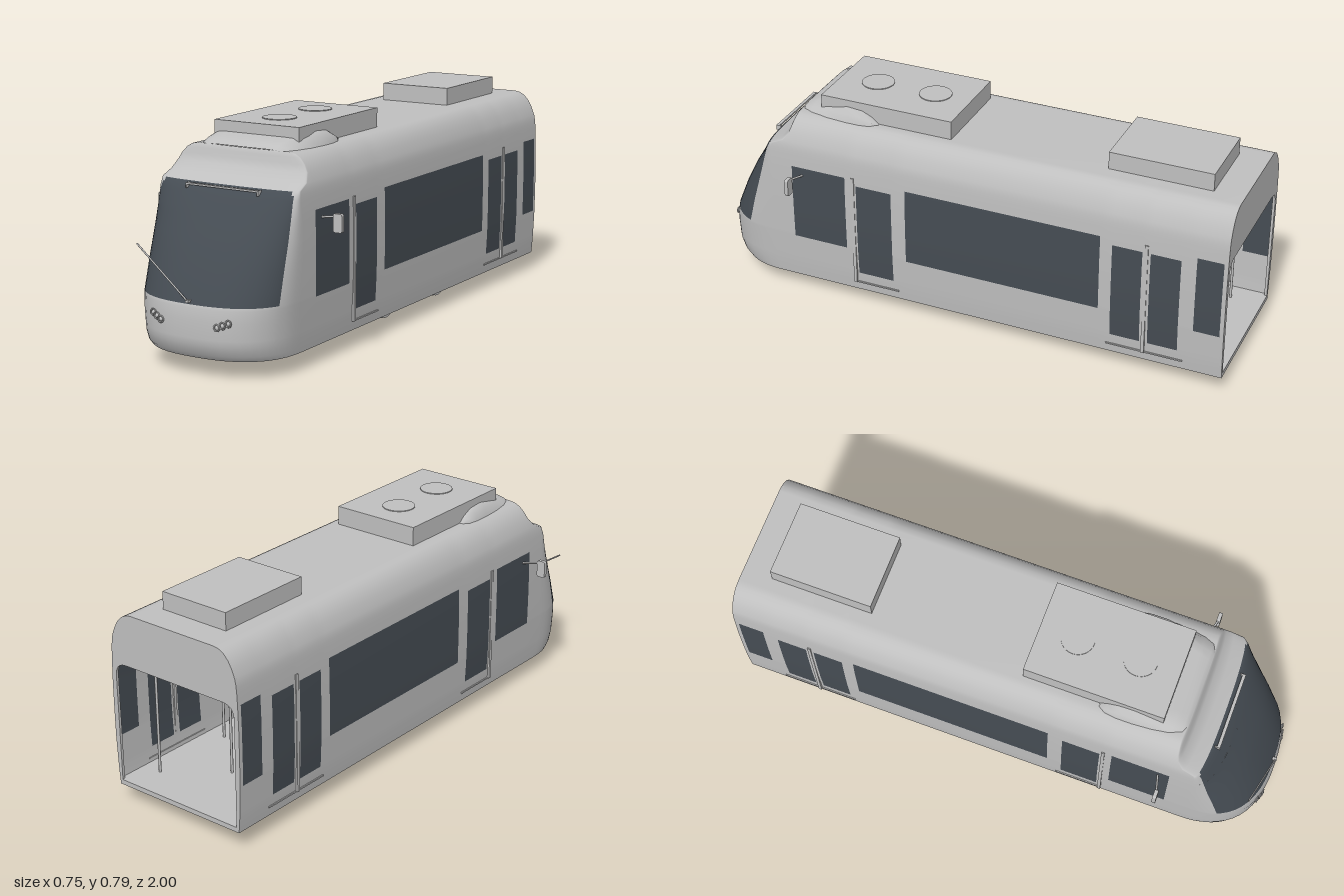
import * as THREE from 'three';

const paint = new THREE.MeshStandardMaterial({ color: 0xbfbfbf, side: THREE.DoubleSide });
paint.name = 'light grey paint';
const glass = new THREE.MeshStandardMaterial({ color: 0x454c53, side: THREE.DoubleSide });
glass.name = 'dark glass';

// Body profile rows: height, half width, front z, depth of the rounded nose
const PROFILE = [
  [0.065, 0.272, 0.965, 0.24], [0.085, 0.274, 0.985, 0.245], [0.12, 0.277, 0.997, 0.25],
  [0.2, 0.281, 1.0, 0.25], [0.25, 0.283, 0.99, 0.235], [0.35, 0.284, 0.945, 0.2],
  [0.45, 0.284, 0.89, 0.153], [0.535, 0.282, 0.832, 0.09], [0.58, 0.28, 0.8, 0.055],
  [0.61, 0.277, 0.77, 0.03], [0.63, 0.273, 0.725, 0.03], [0.66, 0.261, 0.692, 0.02],
  [0.685, 0.247, 0.682, 0.015], [0.705, 0.228, 0.676, 0.012], [0.716, 0.208, 0.672, 0.01],
  [0.72, 0.185, 0.668, 0.007],
];
// Side windows: z from, z to, y from, y to
const WINDOWS = [
  [0.445, 0.66, 0.24, 0.535], [0.26, 0.4, 0.14, 0.51], [-0.54, 0.205, 0.24, 0.535],
  [-0.695, -0.585, 0.14, 0.51], [-0.835, -0.725, 0.14, 0.51], [-0.985, -0.89, 0.24, 0.535],
];
const SIDE_Z = [-1, ...WINDOWS.flatMap((w) => [w[0], w[1]])].sort((a, b) => a - b);
const ANGLES = [0, 5, 10, 15, 21, 26, 32, 39, 46, 54, 62, 70, 77, 84, 90];
const POWER = 2.5;

function profileAt(y) {
  let i = 0;
  while (i < PROFILE.length - 2 && y > PROFILE[i + 1][0]) i++;
  const [a, b] = [PROFILE[i], PROFILE[i + 1]];
  const t = (y - a[0]) / (b[0] - a[0]);
  return a.map((v, k) => v + (b[k] - v) * t);
}

// Outline at one height, from the back left, round the nose, to the back right
function ringAt(y) {
  const [, w, f, d] = profileAt(y);
  const half = SIDE_Z.map((z) => [w, y, z]);
  for (const a of ANGLES) {
    const t = THREE.MathUtils.degToRad(a);
    const x = a === 90 ? 0 : w * Math.cos(t) ** (2 / POWER);
    half.push([x, y, f - d + d * Math.sin(t) ** (2 / POWER)]);
  }
  return [...half, ...half.slice(0, -1).reverse().map(([x, h, z]) => [-x, h, z])];
}

// Nose z at a given x and y
function noseZ(x, y) {
  const [, w, f, d] = profileAt(y);
  return f - d + d * (1 - (Math.abs(x) / w) ** POWER) ** (1 / POWER);
}

function capIndices(n, offset, up) {
  const out = [];
  for (let i = 0; i < (n - 1) / 2; i++) {
    const [l, l2, r, r2] = [i, i + 1, n - 1 - i, n - 2 - i].map((k) => k + offset);
    const tris = [[l, r, l2]];
    if (r2 !== l2) tris.push([l2, r, r2]);
    for (const [a, b, c] of tris) out.push(...(up ? [a, b, c] : [a, c, b]));
  }
  return out;
}

function indexed(points, index) {
  const g = new THREE.BufferGeometry();
  g.setAttribute('position', new THREE.Float32BufferAttribute(points.flat(), 3));
  g.setIndex(index);
  g.computeVertexNormals();
  return g;
}

// Shell with the glazing as its own material group
function bodyGeometry() {
  const extra = [0.14, 0.24, 0.51, 0.3, 0.4, 0.597];
  const levels = [...PROFILE.map((p) => p[0]), ...extra].sort((a, b) => a - b);
  const rings = levels.map(ringAt);
  const n = rings[0].length;
  const ns = SIDE_Z.length;
  const solid = [];
  const glazed = [];
  for (let j = 0; j < levels.length - 1; j++) {
    const y = (levels[j] + levels[j + 1]) / 2;
    for (let i = 0; i < n - 1; i++) {
      const k = Math.min(i, n - 2 - i);
      let isGlass;
      if (k < ns - 1) {
        const z = (SIDE_Z[k] + SIDE_Z[k + 1]) / 2;
        isGlass = WINDOWS.some((w) => z > w[0] && z < w[1] && y > w[2] && y < w[3]);
      } else {
        isGlass = y > 0.25 && y < 0.61 && k >= ns + (y > 0.597 ? 5 : 4);
      }
      const a = j * n + i;
      (isGlass ? glazed : solid).push(a, a + n, a + 1, a + 1, a + n, a + n + 1);
    }
  }
  solid.push(...capIndices(n, (levels.length - 1) * n, true));
  const g = indexed(rings.flat(), [...solid, ...glazed]);
  g.addGroup(0, solid.length, 0);
  g.addGroup(solid.length, glazed.length, 1);
  return g;
}

export function createModel() {
  const model = new THREE.Group();
  model.name = 'tram';
  const add = (name, geometry, x = 0, y = 0, z = 0, material = paint) => {
    const m = new THREE.Mesh(geometry, material);
    m.name = name;
    m.position.set(x, y, z);
    model.add(m);
    return m;
  };
  const box = (name, w, h, d, x, y, z) => add(name, new THREE.BoxGeometry(w, h, d), x, y, z);
  const rod = (name, r, ...pts) => {
    const path = new THREE.LineCurve3(...pts.map((p) => new THREE.Vector3(...p)));
    return add(name, new THREE.TubeGeometry(path, 1, r, 8));
  };
  const axial = (name, r, len, x, y, z) =>
    add(name, new THREE.CylinderGeometry(r, r, len, 28).rotateZ(Math.PI / 2), x, y, z);
  const deck = (name, y, up) => {
    const ring = ringAt(y);
    add(name, indexed(ring, capIndices(ring.length, 0, up)));
  };

  // Body, floor and ceiling
  add('body', bodyGeometry(), 0, 0, 0, [paint, glass]);
  deck('underside', 0.065, false);
  deck('floor', 0.085, true);
  deck('ceiling', 0.54, false);

  // Open rear end with its frame
  const outline = PROFILE.map((p) => new THREE.Vector2(p[1], p[0]));
  const frame = new THREE.Shape([...outline, ...outline.map((p) => new THREE.Vector2(-p.x, p.y)).reverse()]);
  const hole = new THREE.Path();
  hole.moveTo(-0.262, 0.083).lineTo(-0.265, 0.48).quadraticCurveTo(-0.265, 0.53, -0.215, 0.53);
  hole.lineTo(0.215, 0.53).quadraticCurveTo(0.265, 0.53, 0.265, 0.48).lineTo(0.262, 0.083);
  frame.holes.push(hole);
  add('rearFrame', new THREE.ExtrudeGeometry(frame, { depth: 0.01, bevelEnabled: false }), 0, 0, -1);

  // Interior
  for (const [x, z] of [[-0.2, -0.88], [0.2, -0.88], [0, -0.73], [-0.2, -0.55], [0.2, -0.55], [-0.2, 0.22], [0.2, 0.22]])
    rod('grabPole', 0.005, [x, 0.085, z], [x, 0.54, z]);
  box('cabDesk', 0.5, 0.16, 0.06, 0, 0.165, 0.7);

  // Roof units and fans
  box('frontRoofUnit', 0.344, 0.075, 0.515, 0, 0.7525, 0.3275);
  box('rearRoofUnit', 0.28, 0.07, 0.38, 0, 0.75, -0.7);
  for (const z of [0.21, 0.44]) add('roofFan', new THREE.CylinderGeometry(0.06, 0.06, 0.004, 32), 0, 0.791, z);

  // Fairing round the front roof unit: z, half width at foot, half width at top, top height
  const stations = [
    [0.668, 0.15, 0.13, 0.722], [0.655, 0.178, 0.135, 0.735], [0.62, 0.192, 0.14, 0.745], [0.56, 0.2, 0.155, 0.758],
    [0.48, 0.205, 0.172, 0.765], [0.42, 0.205, 0.174, 0.76], [0.38, 0.2, 0.174, 0.742], [0.35, 0.18, 0.174, 0.718],
  ];
  const pts = [];
  const idx = [];
  stations.forEach(([z, foot, top, h], s) => {
    const mid = (foot + top) / 2 + 0.006;
    const side = [[foot, 0.715], [mid, 0.717 + (h - 0.717) * 0.6], [top, h - 0.001], [top * 0.8, h]];
    for (const [x, y] of side) pts.push([x, y, z]);
    for (const [x, y] of side.reverse()) pts.push([-x, y, z]);
    if (s) for (let k = 0; k < 7; k++) {
      const a = (s - 1) * 8 + k;
      idx.push(a, a + 8, a + 1, a + 1, a + 8, a + 9);
    }
  });
  for (let i = 0; i < idx.length; i += 3) [idx[i + 1], idx[i + 2]] = [idx[i + 2], idx[i + 1]];
  add('roofFairing', indexed(pts, idx));

  // Windscreen rail and wiper
  const railZ = noseZ(0, 0.603) + 0.012;
  box('railBar', 0.29, 0.006, 0.012, 0, 0.604, railZ);
  rod('wiper', 0.003, [0, 0.26, 0.995], [-0.235, 0.417, 0.95]);
  box('wiperPivot', 0.012, 0.008, 0.02, 0, 0.26, 0.99);

  for (const s of [1, -1]) {
    box('railEnd', 0.005, 0.018, 0.02, s * 0.143, 0.598, railZ - 0.004);

    // Headlights
    for (const [x, y] of [[0.112, 0.185], [0.131, 0.193], [0.15, 0.201]]) {
      const z = noseZ(x, y);
      add('headlightRing', new THREE.TorusGeometry(0.011, 0.0025, 8, 24), s * x, y, z + 0.003);
      add('headlightLens', new THREE.SphereGeometry(0.008, 16, 10), s * x, y, z);
    }

    // Mirrors on arms
    const plate = new THREE.Shape();
    plate.absarc(0.01, 0.025, 0.007, 0, Math.PI / 2);
    plate.absarc(-0.01, 0.025, 0.007, Math.PI / 2, Math.PI);
    plate.absarc(-0.01, -0.025, 0.007, Math.PI, Math.PI * 1.5);
    plate.absarc(0.01, -0.025, 0.007, Math.PI * 1.5, Math.PI * 2);
    add('mirror', new THREE.ExtrudeGeometry(plate, { depth: 0.014, bevelEnabled: false }), s * 0.356, 0.494, 0.628);
    rod('mirrorArm', 0.004, [s * 0.28, 0.504, 0.618], [s * 0.342, 0.515, 0.634]);

    // Door edges and sills
    for (const z of [0.413, -0.71]) box('doorEdge', 0.008, 0.44, 0.012, s * 0.282, 0.32, z);
    box('frontDoorSill', 0.008, 0.005, 0.17, s * 0.276, 0.1, 0.325);
    box('rearDoorSill', 0.008, 0.005, 0.285, s * 0.276, 0.1, -0.7125);

    // Wheels
    for (const z of [0.005, -0.385]) {
      axial('wheel', 0.064, 0.018, s * 0.166, 0.07, z);
      axial('wheelFlange', 0.068, 0.006, s * 0.155, 0.07, z);
      axial('wheelHub', 0.02, 0.028, s * 0.186, 0.07, z);
      axial('brakeDisc', 0.042, 0.009, s * 0.103, 0.07, z);
    }
  }

  // Axles and motors
  for (const z of [0.005, -0.385]) axial('axle', 0.014, 0.32, 0, 0.07, z);
  for (const z of [-0.095, -0.285]) axial('motor', 0.028, 0.155, -0.013, 0.068, z);

  return model;
}
